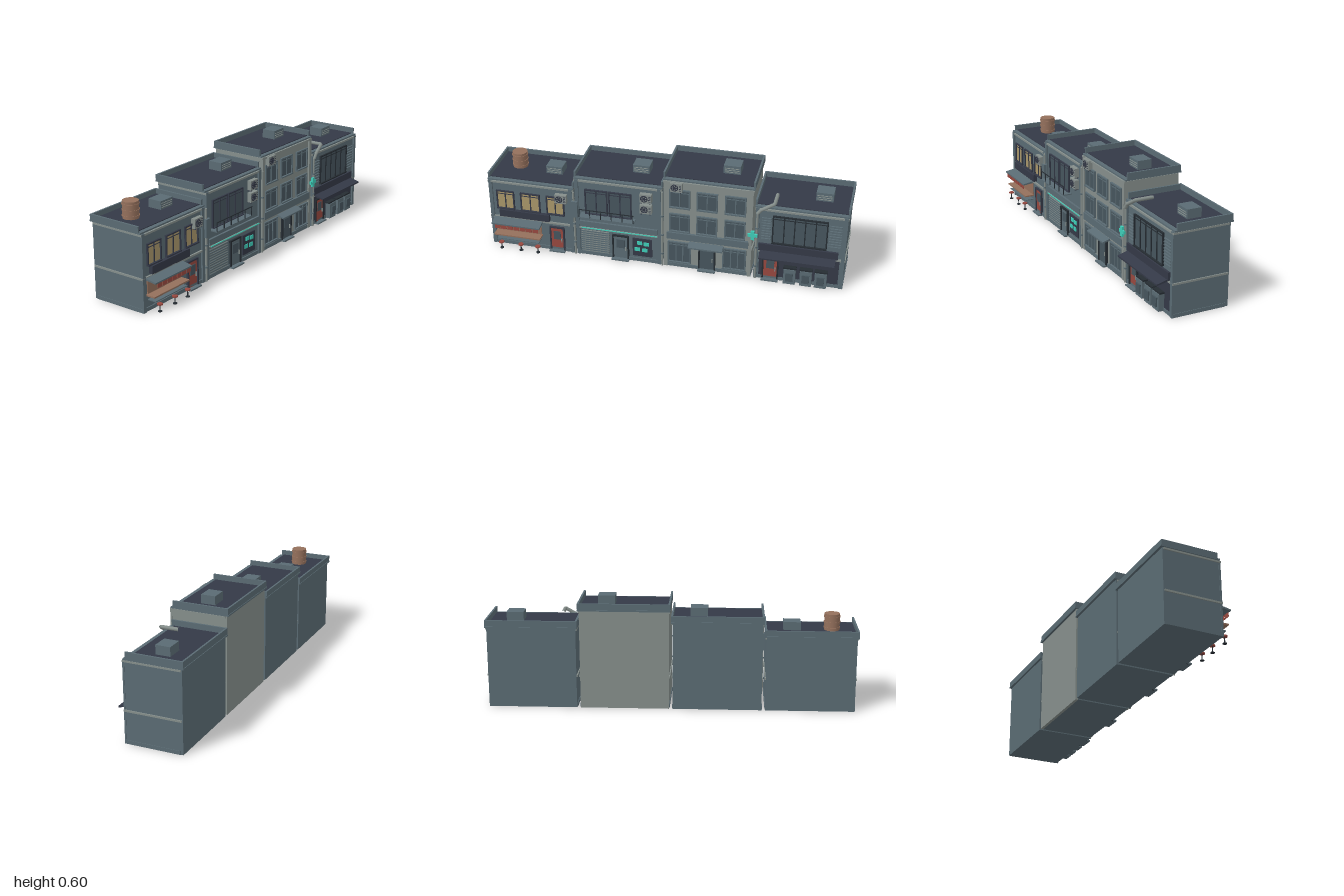
import * as THREE from 'three';

const mat = (name, color) => Object.assign(new THREE.MeshStandardMaterial({ color }), { name });
const slate = mat('slate wall', 0x5a6b73), stone = mat('pale stone', 0x858e8b), dark = mat('dark trim', 0x343947),
  glass = mat('dim glass', 0x46555d), wood = mat('warm wood', 0x94705c), red = mat('faded red', 0x97483f),
  amber = mat('amber glass', 0xa8966a), teal = mat('teal light', 0x3fcdb8), charcoal = mat('charcoal', 0x262d33);
const F = 0.125; // facade plane

function add(parent, name, geo, material, x = 0, y = 0, z = 0) {
  const m = new THREE.Mesh(geo, material);
  m.name = name;
  m.position.set(x, y, z);
  parent.add(m);
  return m;
}
// box from its limits on each axis
function box(p, name, m, x0, x1, y0, y1, z0, z1) {
  return add(p, name, new THREE.BoxGeometry(x1 - x0, y1 - y0, z1 - z0), m, (x0 + x1) / 2, (y0 + y1) / 2, (z0 + z1) / 2);
}
function cyl(p, name, m, r, h, x, y, z, n = 12) {
  return add(p, name, new THREE.CylinderGeometry(r, r, h, n), m, x, y, z);
}
function group(p, name) {
  const g = new THREE.Group();
  g.name = name;
  p.add(g);
  return g;
}
// four bars around an opening
function frame(p, m, x0, x1, y0, y1, t = 0.007, d = 0.01) {
  box(p, 'frameTop', m, x0 - t, x1 + t, y1, y1 + t, F, F + d);
  box(p, 'frameSill', m, x0 - t, x1 + t, y0 - t, y0, F, F + d + 0.004);
  box(p, 'frameLeft', m, x1, x1 + t, y0, y1, F, F + d);
  box(p, 'frameRight', m, x0 - t, x0, y0, y1, F, F + d);
}
function windowUnit(p, x0, x1, y0, y1, pane, trim, panels = 2) {
  const g = group(p, 'window');
  box(g, 'pane', pane, x0, x1, y0, y1, F - 0.002, F + 0.003);
  frame(g, trim, x0, x1, y0, y1);
  for (let i = 1; i < panels; i++) {
    const x = x0 + (x1 - x0) * i / panels;
    box(g, 'mullion', trim, x - 0.003, x + 0.003, y0, y1, F, F + 0.007);
  }
  box(g, 'transom', trim, x0, x1, y1 - 0.016, y1 - 0.012, F, F + 0.006);
}
function door(p, x0, x1, y1, m, trim) {
  const g = group(p, 'door');
  box(g, 'doorLeaf', m, x0, x1, 0.008, y1, F - 0.002, F + 0.006);
  box(g, 'doorPane', glass, x0 + 0.015, x1 - 0.015, y1 * 0.5, y1 - 0.02, F, F + 0.009);
  box(g, 'doorHandle', stone, x1 - 0.012, x1 - 0.007, y1 * 0.4, y1 * 0.55, F, F + 0.013);
  box(g, 'doorHead', trim, x0 - 0.008, x1 + 0.008, y1, y1 + 0.008, F, F + 0.012);
  for (const x of [x0 - 0.008, x1]) box(g, 'doorJamb', trim, x, x + 0.008, 0, y1, F, F + 0.012);
  box(g, 'doorstep', slate, x0 - 0.01, x1 + 0.01, 0, 0.008, F, F + 0.03);
}
function airConditioner(p, x, y) {
  const g = group(p, 'airConditioner');
  box(g, 'casing', stone, x - 0.033, x + 0.033, y - 0.026, y + 0.026, F, F + 0.024);
  add(g, 'fanHousing', new THREE.TorusGeometry(0.018, 0.003, 6, 16), dark, x - 0.008, y, F + 0.025);
  const hub = cyl(g, 'fanHub', dark, 0.007, 0.006, x - 0.008, y, F + 0.025, 8);
  hub.rotation.x = Math.PI / 2;
  for (let i = 0; i < 3; i++) {
    const b = add(g, 'fanBlade', new THREE.BoxGeometry(0.034, 0.005, 0.003), dark, x - 0.008, y, F + 0.025);
    b.rotation.z = i * Math.PI / 3;
  }
  for (let i = 0; i < 4; i++) box(g, 'grille', dark, x + 0.017, x + 0.029, y - 0.016 + i * 0.01, y - 0.013 + i * 0.01, F, F + 0.026);
  for (const s of [-1, 1]) box(g, 'bracket', dark, x + s * 0.024 - 0.003, x + s * 0.024 + 0.003, y - 0.032, y - 0.026, F, F + 0.022);
}
// sloping canopy with a front lip
function awning(p, name, m, x0, x1, yFront, yBack, zFront, t = 0.008) {
  const s = new THREE.Shape([[F, yBack], [zFront, yFront], [zFront, yFront - t], [F, yBack - t * 1.5]].map(a => new THREE.Vector2(a[0], a[1])));
  const geo = new THREE.ExtrudeGeometry(s, { depth: x1 - x0, bevelEnabled: false });
  geo.rotateY(-Math.PI / 2); // profile z, length along -x
  const a = add(p, name, geo, m, x1, 0, 0);
  return a;
}
function tube(p, name, m, pts, r) {
  const path = new THREE.CurvePath();
  const v = pts.map(a => new THREE.Vector3(...a));
  for (let i = 1; i < v.length; i++) path.add(new THREE.LineCurve3(v[i - 1], v[i]));
  add(p, name, new THREE.TubeGeometry(path, 40, r, 8), m);
}

// body, roof, parapet, bands and corner strips shared by every house
function house(p, name, cx, ledge, top, wall) {
  const g = group(p, name), L = cx - 0.24, R = cx + 0.24;
  box(g, 'body', wall, L, R, 0, ledge, -0.183, F);
  box(g, 'plinth', slate, L - 0.003, R + 0.003, 0, 0.02, -0.167, F + 0.006);
  box(g, 'roofLedge', slate, cx - 0.248, cx + 0.248, ledge - 0.006, ledge + 0.002, -0.195, F + 0.004);
  box(g, 'roofDeck', dark, cx - 0.24, cx + 0.24, ledge + 0.002, ledge + 0.006, -0.188, 0.105);
  for (const s of [-1, 1]) {
    const x = cx + s * 0.243;
    box(g, 'sideParapet', slate, x - 0.005, x + 0.005, ledge, top, -0.19, 0.117);
    box(g, 'cornerStrip', wall === stone ? stone : slate, cx + s * 0.232 - 0.01, cx + s * 0.232 + 0.01, 0, ledge - 0.006, F, F + 0.01);
  }
  box(g, 'backParapet', slate, cx - 0.248, cx + 0.248, ledge, top, -0.192, -0.182);
  for (const y of [ledge - 0.018, 0.172]) box(g, 'wallBand', stone, L - 0.006, R + 0.006, y, y + 0.01, -0.178, F + 0.01);
  const v = group(g, 'roofVent');
  box(v, 'ventBox', slate, cx + 0.055, cx + 0.148, ledge, top + 0.019, -0.075, 0.005);
  for (let i = 0; i < 3; i++) box(v, 'ventSlat', stone, cx + 0.062, cx + 0.141, ledge + 0.015 + i * 0.011, ledge + 0.018 + i * 0.011, 0, 0.008);
  return g;
}

export function createModel() {
  const root = new THREE.Group();
  root.name = 'streetRow';

  // noodle bar house
  const a = house(root, 'barHouse', -0.75, 0.415, 0.447, slate);
  for (const [x0, x1] of [[-0.945, -0.855], [-0.805, -0.705], [-0.655, -0.565]]) windowUnit(a, x0, x1, 0.24, 0.342, amber, dark);
  airConditioner(a, -0.572, 0.348);
  box(a, 'signBox', dark, -0.935, -0.645, 0.19, 0.232, F, F + 0.022);
  awning(a, 'barAwning', slate, -0.97, -0.69, 0.168, 0.18, 0.195);
  box(a, 'barOpening', wood, -0.955, -0.7, 0.085, 0.165, F, F + 0.005);
  box(a, 'barCounter', wood, -0.965, -0.695, 0.082, 0.09, F, 0.182);
  box(a, 'barShelf', slate, -0.95, -0.705, 0.055, 0.06, F, 0.175);
  for (let i = 0; i < 7; i++) {
    const x = -0.952 + i * 0.037;
    box(a, 'clothBanner', red, x, x + 0.032, 0.137, 0.164, 0.19, 0.193);
  }
  for (const x of [-0.925, -0.81, -0.71]) {
    const s = group(a, 'stool');
    cyl(s, 'stoolSeat', red, 0.0145, 0.007, x, 0.04, 0.18);
    cyl(s, 'stoolStem', charcoal, 0.003, 0.036, x, 0.02, 0.18, 6);
    cyl(s, 'stoolFoot', charcoal, 0.011, 0.004, x, 0.002, 0.18);
  }
  door(a, -0.642, -0.572, 0.147, red, dark);
  const tank = group(a, 'waterBarrel');
  cyl(tank, 'barrel', wood, 0.042, 0.095, -0.863, 0.464, -0.045, 16);
  for (const y of [0.435, 0.465, 0.495]) cyl(tank, 'barrelHoop', wood, 0.045, 0.007, -0.863, y, -0.045, 16);

  // shutter house with balcony
  const b = house(root, 'balconyHouse', -0.25, 0.487, 0.52, slate);
  windowUnit(b, -0.43, -0.315, 0.275, 0.418, glass, dark);
  windowUnit(b, -0.295, -0.18, 0.275, 0.418, glass, dark);
  const bal = group(b, 'balcony');
  box(bal, 'balconyFloor', slate, -0.46, -0.15, 0.265, 0.271, F, 0.178);
  box(bal, 'handrail', charcoal, -0.46, -0.15, 0.317, 0.321, 0.174, 0.178);
  for (let i = 0; i < 6; i++) {
    const x = -0.458 + i * 0.0608;
    box(bal, 'railPost', charcoal, x - 0.002, x + 0.002, 0.27, 0.318, 0.174, 0.178);
  }
  airConditioner(b, -0.09, 0.42);
  airConditioner(b, -0.09, 0.352);
  box(b, 'fascia', slate, -0.47, -0.03, 0.186, 0.22, F, F + 0.012);
  box(b, 'tealStrip', teal, -0.46, -0.03, 0.177, 0.181, F, F + 0.014);
  box(b, 'shutter', stone, -0.465, -0.305, 0.01, 0.16, F, F + 0.004);
  for (let i = 0; i < 11; i++) box(b, 'shutterSlat', slate, -0.465, -0.305, 0.015 + i * 0.0135, 0.022 + i * 0.0135, F, F + 0.007);
  door(b, -0.278, -0.2, 0.147, slate, charcoal);
  box(b, 'screenBoard', dark, -0.17, -0.06, 0.035, 0.148, F, F + 0.006);
  for (const [x, y] of [[-0.13, 0.122], [-0.143, 0.08], [-0.1, 0.078], [-0.092, 0.118]])
    box(b, 'screen', teal, x - 0.015, x + 0.015, y - 0.011, y + 0.011, F, F + 0.01);
  box(b, 'bladeSign', slate, -0.512, -0.477, 0.245, 0.345, F, F + 0.025);

  // pale three storey house
  const c = house(root, 'paleHouse', 0.25, 0.548, 0.583, stone);
  for (const y of [0.385, 0.235]) for (const x of [0.095, 0.245, 0.398]) windowUnit(c, x - 0.05, x + 0.05, y, y + 0.1, glass, slate);
  for (const x of [0.095, 0.4]) windowUnit(c, x - 0.058, x + 0.058, 0.035, 0.155, glass, slate, 3);
  door(c, 0.21, 0.288, 0.145, glass, charcoal);
  box(c, 'fasciaBand', slate, 0.025, 0.475, 0.182, 0.222, F, F + 0.014);
  awning(c, 'doorCanopy', slate, 0.15, 0.34, 0.165, 0.18, 0.178);
  airConditioner(c, 0.078, 0.512);
  const cross = group(c, 'tealCross');
  box(cross, 'crossUpright', teal, 0.487, 0.506, 0.25, 0.304, 0.14, 0.152);
  box(cross, 'crossArm', teal, 0.47, 0.523, 0.268, 0.286, 0.141, 0.151);
  box(cross, 'crossBracket', dark, 0.492, 0.501, 0.272, 0.282, F, 0.141);

  // dark shopfront house
  const d = house(root, 'darkShopHouse', 0.75, 0.449, 0.485, slate);
  windowUnit(d, 0.605, 0.885, 0.24, 0.398, glass, charcoal, 5);
  for (let i = 0; i < 9; i++) {
    const y = 0.25 + i * 0.016;
    box(d, 'louvre', slate, 0.9, 0.965, y, y + 0.007, F, F + 0.008);
    box(d, 'louvre', slate, 0.54, 0.59, y, y + 0.007, F, F + 0.008);
  }
  box(d, 'shopFront', dark, 0.535, 0.965, 0.02, 0.172, F, F + 0.003);
  box(d, 'shopSign', dark, 0.53, 0.955, 0.182, 0.225, F, F + 0.012);
  awning(d, 'shopAwning', dark, 0.54, 0.945, 0.17, 0.188, 0.193);
  door(d, 0.562, 0.635, 0.143, red, charcoal);
  for (const x of [0.707, 0.795, 0.875]) {
    const bin = group(d, 'bin');
    box(bin, 'binBody', slate, x - 0.032, x + 0.032, 0.004, 0.095, F + 0.002, 0.16);
    box(bin, 'binLid', charcoal, x - 0.035, x + 0.035, 0.095, 0.104, F, 0.155);
    box(bin, 'binPanel', glass, x - 0.02, x + 0.02, 0.025, 0.075, 0.16, 0.168);
  }
  tube(d, 'roofDuct', stone, [[0.517, 0.41, 0.138], [0.535, 0.435, 0.138], [0.605, 0.477, 0.13], [0.605, 0.477, 0.03]], 0.01);

  // downpipes at the joints
  for (const [x, h] of [[-0.5, 0.4], [0, 0.47], [0.517, 0.415]]) {
    cyl(root, 'downpipe', stone, 0.006, h, x, h / 2, F + 0.012, 8);
    for (const y of [0.08, 0.2, 0.32]) cyl(root, 'pipeCollar', slate, 0.009, 0.008, x, y, F + 0.012, 8);
  }
  return root;
}
